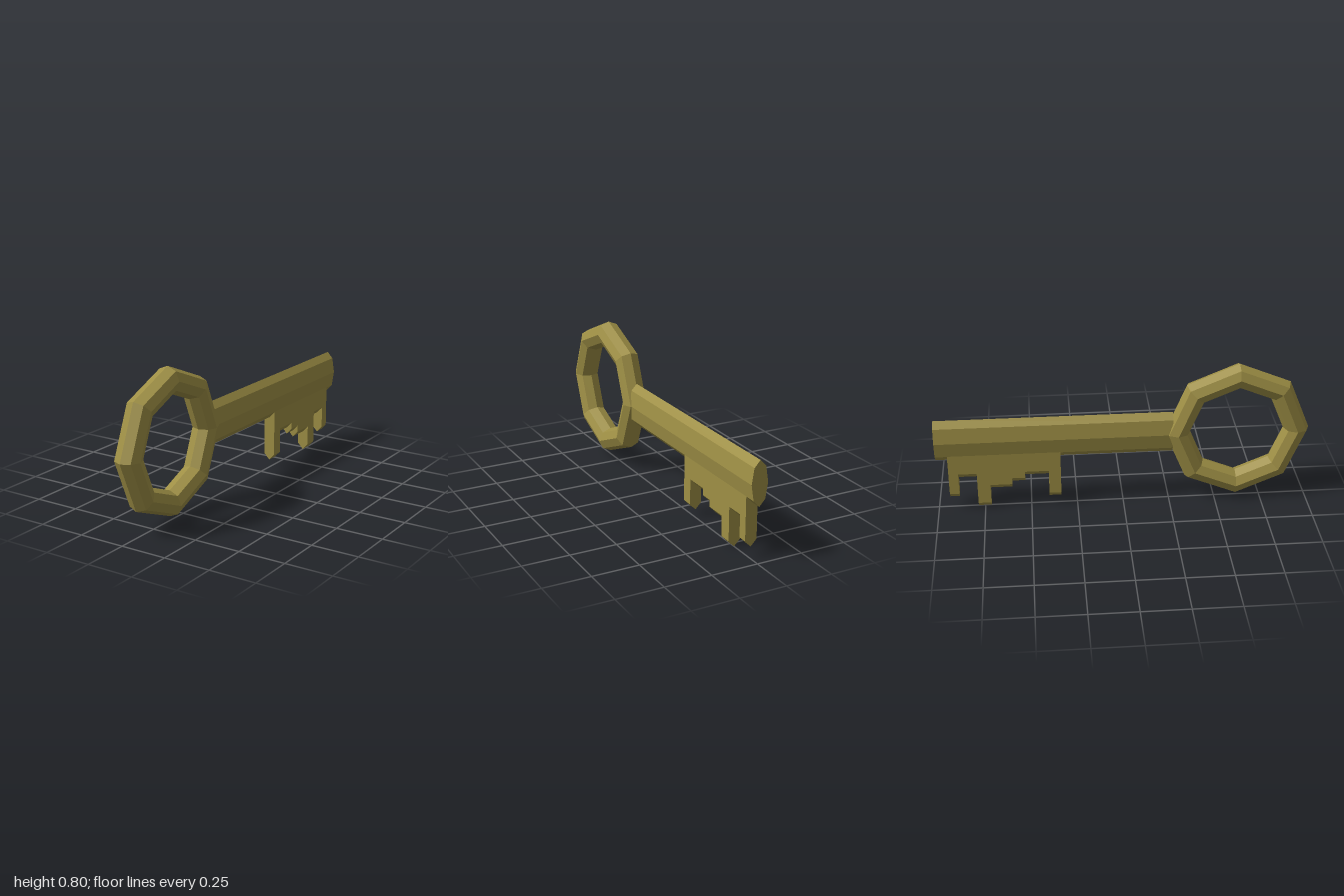
import * as THREE from 'three';

const material = new THREE.MeshStandardMaterial({ color: 0x9e8f45, flatShading: true });

function addPart(group, name, geometry) {
  const mesh = new THREE.Mesh(geometry, material);
  mesh.name = name;
  group.add(mesh);
  return mesh;
}

// Closed skin over a row of equal-length sections, running from +z to -z
function loft(sections) {
  const n = sections[0].length;
  const index = [];
  for (let s = 0; s < sections.length - 1; s++) {
    for (let i = 0; i < n; i++) {
      const a = s * n + i, a2 = s * n + (i + 1) % n;
      index.push(a, a + n, a2, a2, a + n, a2 + n);
    }
  }
  const last = (sections.length - 1) * n;
  for (let i = 1; i < n - 1; i++) {
    index.push(0, i, i + 1, last, last + i + 1, last + i);
  }
  const geometry = new THREE.BufferGeometry();
  geometry.setAttribute('position', new THREE.Float32BufferAttribute(sections.flat(2), 3));
  geometry.setIndex(index);
  const flat = geometry.toNonIndexed();
  flat.computeVertexNormals();
  return flat;
}

export function createModel() {
  const key = new THREE.Group();
  key.name = 'key';

  // Octagonal ring handle
  const bow = addPart(key, 'bow', new THREE.TorusGeometry(0.32, 0.069, 8, 8));
  bow.rotation.y = Math.PI / 2;
  bow.position.set(0, 0.411, 0.611);

  // Flattened eight-sided shaft
  const front = 0.265, back = -1;
  const shaftGeometry = new THREE.CylinderGeometry(1, 1, front - back, 8);
  shaftGeometry.rotateX(Math.PI / 2);
  shaftGeometry.scale(0.045, 0.118, 1);
  const shaft = addPart(key, 'shaft', shaftGeometry);
  shaft.position.set(0, 0.413, (front + back) / 2);

  // Stepped bit with a pointed lower edge: [start z, end z, tip height]
  const steps = [
    [-0.337, -0.401, 0.045],
    [-0.401, -0.529, 0.184],
    [-0.529, -0.599, 0.147],
    [-0.599, -0.717, 0.11],
    [-0.717, -0.786, 0],
    [-0.786, -0.885, 0.184],
    [-0.885, -0.936, 0.064],
  ];
  const w = 0.032, top = 0.36, bevel = 0.034;
  const section = (z, tip) => [
    [-w, top, z], [-w, tip + bevel, z], [0, tip, z], [w, tip + bevel, z], [w, top, z],
  ];
  addPart(key, 'bit', loft(steps.flatMap(([z0, z1, tip]) => [section(z0, tip), section(z1, tip)])));

  return key;
}
